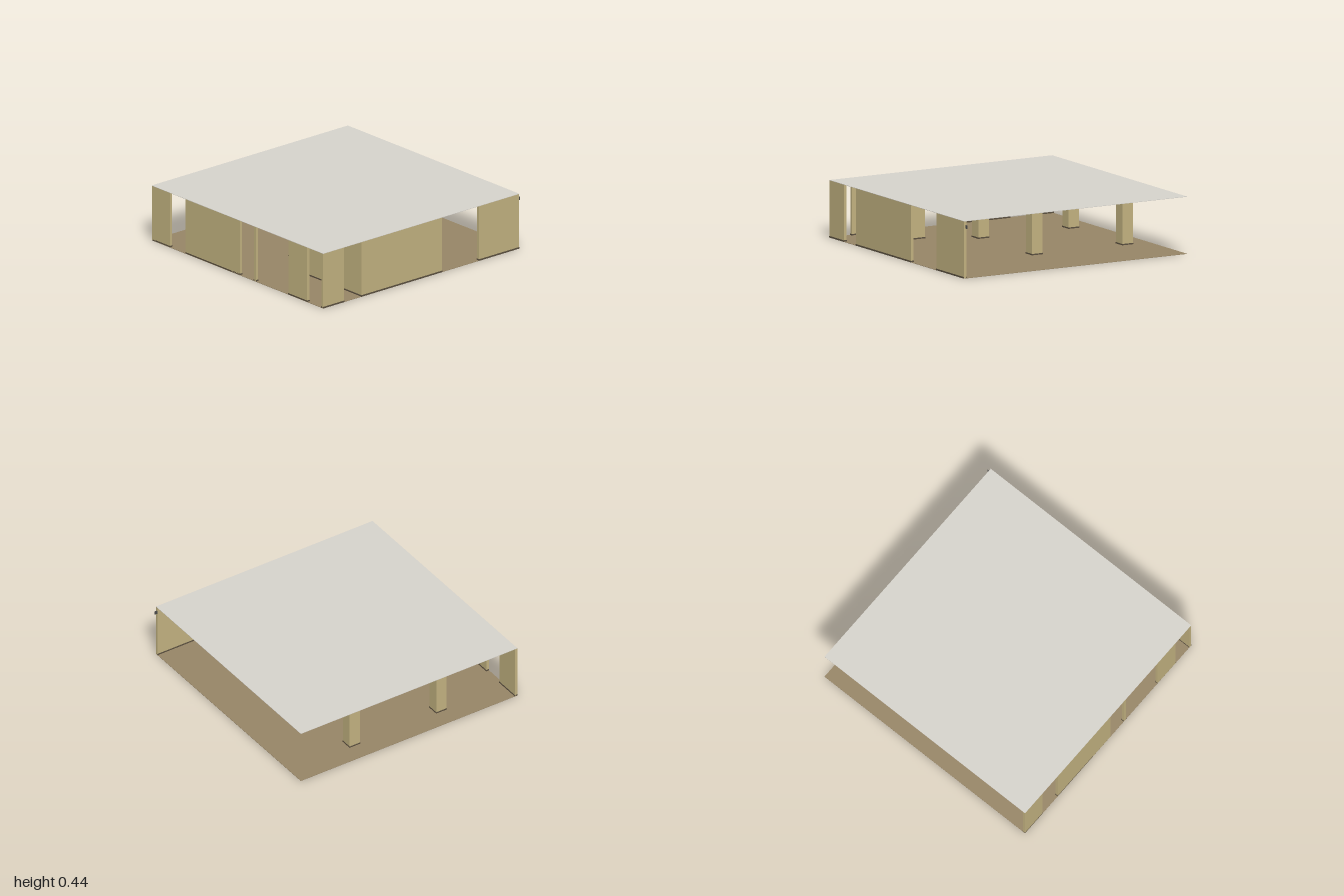
import * as THREE from 'three';

const mat = (name, color) => {
  const m = new THREE.MeshStandardMaterial({ color });
  m.name = name;
  return m;
};

export function createModel() {
  const model = new THREE.Group();
  model.name = 'pavilion';

  const wallPaint = mat('sand wall', 0xc2b280);
  const floorPaint = mat('brown floor', 0x978566);
  const ceilingPaint = mat('pale grey ceiling', 0xd6d3cc);
  const skirtingPaint = mat('dark skirting', 0x5c5140);
  const metalPaint = mat('dark grey metal', 0x4a4a4a);
  const socketPaint = mat('white plastic', 0xe8e6e0);

  // Box given by its limits on each axis
  const box = (name, material, [x0, x1], [y0, y1], [z0, z1], parent = model) => {
    const mesh = new THREE.Mesh(new THREE.BoxGeometry(x1 - x0, y1 - y0, z1 - z0), material);
    mesh.position.set((x0 + x1) / 2, (y0 + y1) / 2, (z0 + z1) / 2);
    mesh.name = name;
    parent.add(mesh);
  };

  const W = -1, E = 0.98, N = -0.99, S = 0.985;  // plan limits
  const TOP = 0.445, T = 0.022, LIP = 0.003;     // height, wall thickness, skirting overhang

  // Floor and ceiling slabs
  box('floor', floorPaint, [W, E], [0, 0.003], [N, S]);
  box('ceiling', ceilingPaint, [W, E], [TOP - 0.003, TOP], [N, S]);

  // Upright piece with a skirting around its foot
  const upright = (name, xs, zs) => {
    const group = new THREE.Group();
    group.name = name;
    box('body', wallPaint, xs, [0.003, TOP - 0.003], zs, group);
    box('skirting', skirtingPaint,
      [Math.max(xs[0] - LIP, W), Math.min(xs[1] + LIP, E)], [0.001, 0.013],
      [Math.max(zs[0] - LIP, N), zs[1] + LIP], group);
    model.add(group);
  };

  // Front wall, with openings between its sections
  for (const xs of [[W, -0.79], [-0.59, 0.2], [0.575, E]]) upright('frontWall', xs, [S - T, S]);

  // Right side wall sections and the slim post between two openings
  for (const zs of [[N, -0.78], [-0.6, 0.025], [0.585, 0.8]]) upright('sideWall', [W, W + T], zs);
  upright('sidePost', [W, W + T], [0.186, 0.21]);

  // Inner partition running back from the front
  upright('partition', [-0.613, -0.59], [0.385, S]);

  // Square pillars on a regular grid
  for (const x of [-0.405, 0.387])
    for (const z of [-0.795, 0.005])
      upright('pillar', [x - 0.046, x + 0.046], [z - 0.046, z + 0.046]);

  // Small bracket on the front wall end and a socket on the partition
  box('bracket', metalPaint, [E, 1], [0.387, 0.413], [0.968, 0.974]);
  box('socket', socketPaint, [-0.59, -0.586], [0.046, 0.062], [0.907, 0.923]);

  return model;
}
